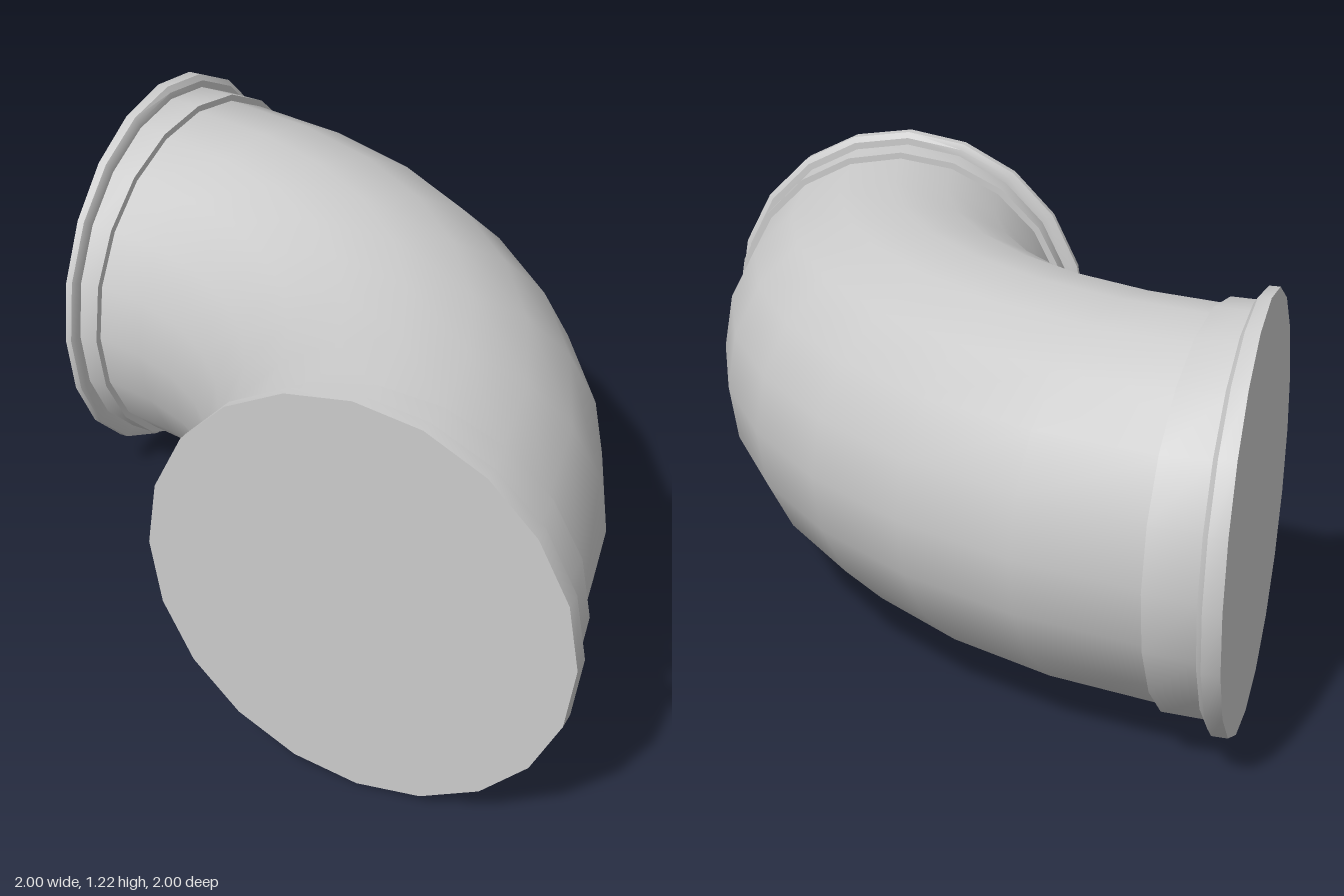
import * as THREE from 'three';
import { toCreasedNormals } from 'three/addons/utils/BufferGeometryUtils.js';

const BEND = 1.39;   // radius of the pipe's centre line
const SIDES = 20;
const rad = THREE.MathUtils.degToRad;

// Turn a profile of [degrees along the bend, pipe radius] around the
// centre line, then wrap it round the elbow's pivot at (-1, 1).
function bentLathe(name, profile, material) {
  const points = profile.map(([deg, r]) => new THREE.Vector2(r, rad(deg)));
  const geometry = new THREE.LatheGeometry(points, SIDES);
  const p = geometry.attributes.position;
  for (let i = 0; i < p.count; i++) {
    const rho = BEND + p.getX(i);
    const angle = p.getY(i);
    p.setXYZ(i, -1 + rho * Math.cos(angle), 0.61 + p.getZ(i), 1 - rho * Math.sin(angle));
  }
  const mesh = new THREE.Mesh(toCreasedNormals(geometry, 0.5), material);
  mesh.name = name;
  return mesh;
}

export function createModel() {
  const group = new THREE.Group();
  group.name = 'pipeElbow';
  const material = new THREE.MeshStandardMaterial({ color: 0xcccccc });

  // Curved pipe in seven segments
  const start = 6.2;
  const step = (90 - 2 * start) / 7;
  const pipe = [];
  for (let i = 0; i <= 7; i++) pipe.push([start + i * step, 0.55]);
  group.add(bentLathe('pipe', pipe, material));

  // Closed end: flat cap, chamfered flange, collar and its step to the pipe
  const coupling = [
    [0, 0], [0, 0.61], [1.45, 0.61], [1.9, 0.592],
    [1.9, 0.57], [start, 0.57], [start, 0.545],
  ];
  group.add(bentLathe('frontCoupling', coupling, material));

  // Same coupling mirrored to the other end of the bend
  const mirrored = coupling.map(([deg, r]) => [90 - deg, r]).reverse();
  group.add(bentLathe('sideCoupling', mirrored, material));

  return group;
}
